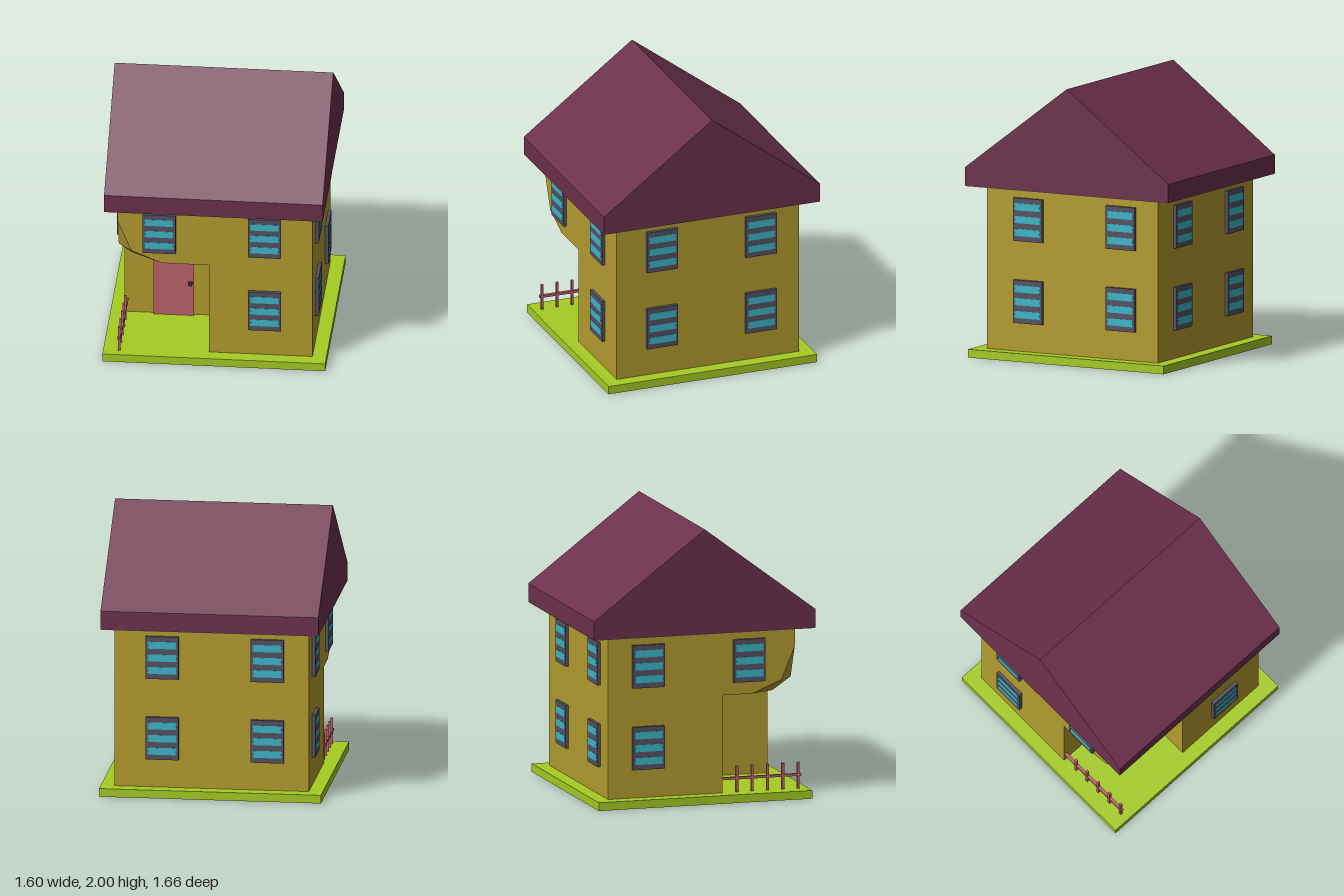
import * as THREE from 'three';
import { ConvexGeometry } from 'three/addons/geometries/ConvexGeometry.js';

const mat = (name, color) => {
  const m = new THREE.MeshStandardMaterial({ color });
  m.name = name;
  return m;
};

export function createModel() {
  const house = new THREE.Group();
  house.name = 'house';

  const grass = mat('grass green', 0xa6cc24);
  const wall = mat('ochre wall', 0xb49d2f);
  const roofRed = mat('roof maroon', 0x6d314c);
  const soffitGrey = mat('soffit grey', 0xcccccc);
  const frameGrey = mat('shutter grey', 0x555262);
  const glass = mat('pane cyan', 0x3db6ca);
  const pink = mat('door pink', 0xbe646b);
  const dark = mat('knob plum', 0x5a2840);

  const add = (parent, name, geometry, material, x = 0, y = 0, z = 0) => {
    const mesh = new THREE.Mesh(geometry, material);
    mesh.name = name;
    mesh.position.set(x, y, z);
    parent.add(mesh);
    return mesh;
  };
  const box = (parent, name, material, w, h, d, x, y, z) =>
    add(parent, name, new THREE.BoxGeometry(w, h, d), material, x, y, z);
  const polygon = pts => new THREE.Shape(pts.map(p => new THREE.Vector2(...p)));

  // Lawn slab
  box(house, 'lawn', grass, 1.6, 0.06, 1.6, 0, 0.03, 0);

  // Ground floor: L-shaped plan leaving an open porch at the front corner
  const H = 0.7, CEIL = 0.77, porchX = -0.045, porchZ = 0.16;
  const plan = polygon([[-H, H], [-H, -porchZ], [porchX, -porchZ], [porchX, -H], [H, -H], [H, H]]);
  const lower = new THREE.ExtrudeGeometry(plan, { depth: CEIL - 0.06, bevelEnabled: false });
  lower.rotateX(-Math.PI / 2);
  add(house, 'groundFloor', lower, wall, 0, 0.06, 0);

  // Upper floor: block with the corner over the porch faceted away
  const TOP = 1.24;
  const upper = new ConvexGeometry([
    [-H, TOP, -H], [H, TOP, -H], [H, TOP, H], [-H, TOP, H],
    [-H, CEIL, -H], [H, CEIL, -H], [H, CEIL, H],
    [-H, 1.1, H], [-0.6, 0.86, H], [-0.38, CEIL, H],
    [-H, 0.86, 0.6], [-H, CEIL, 0.38], [-0.61, CEIL, 0.56],
  ].map(p => new THREE.Vector3(...p)));
  add(house, 'upperFloor', upper, wall);

  // Gabled roof, ridge along x
  const gable = polygon([[-0.83, 1.24], [0.83, 1.24], [0.83, 1.375], [0, 2], [-0.83, 1.375]]);
  const roof = new THREE.ExtrudeGeometry(gable, { depth: 1.57, bevelEnabled: false });
  roof.translate(0, 0, -0.785);
  roof.rotateY(Math.PI / 2);
  add(house, 'roof', roof, roofRed);
  box(house, 'soffit', soffitGrey, 1.56, 0.004, 1.65, 0, 1.238, 0);

  // Louvred windows: frame with three panes that have notched ends
  const a = 0.108, b = 0.097, h = 0.026;
  const paneShape = polygon([
    [-b, -h], [b, -h], [a, -h * 0.6], [b, 0], [a, h * 0.6], [b, h],
    [-b, h], [-a, h * 0.6], [-b, 0], [-a, -h * 0.6],
  ]);
  const paneGeo = new THREE.ExtrudeGeometry(paneShape, { depth: 0.004, bevelEnabled: false });
  const frameGeo = new THREE.BoxGeometry(0.237, 0.312, 0.035);

  const UP = 1.016, DOWN = 0.422;
  const sides = [
    { name: 'front', turn: 0, at: [[-0.4, UP], [0.357, UP], [0.357, DOWN]] },
    { name: 'left', turn: Math.PI / 2, at: [[-0.355, UP], [0.403, UP], [-0.355, DOWN], [0.403, DOWN + 0.004]] },
    { name: 'back', turn: Math.PI, at: [[-0.355, UP], [0.403, UP], [-0.355, DOWN], [0.403, DOWN]] },
    { name: 'right', turn: -Math.PI / 2, at: [[-0.4, UP], [0.355, UP], [-0.4, DOWN]] },
  ];
  for (const side of sides) {
    const group = new THREE.Group();
    group.name = side.name + 'Windows';
    group.rotation.y = side.turn;
    house.add(group);
    for (const [x, y] of side.at) {
      add(group, 'windowFrame', frameGeo, frameGrey, x, y, 0.7065);
      for (const dy of [-0.093, 0, 0.093]) add(group, 'windowPane', paneGeo, glass, x, y + dy, 0.722);
    }
  }

  // Front door inside the porch, with knob and a small bell on the side wall
  box(house, 'door', pink, 0.29, 0.53, 0.02, -0.345, 0.325, porchZ + 0.01);
  box(house, 'doorKnob', dark, 0.028, 0.025, 0.03, -0.225, 0.325, porchZ + 0.03);
  box(house, 'doorBell', dark, 0.01, 0.045, 0.025, porchX - 0.002, 0.435, 0.35);

  // Picket fence along the open side of the porch
  const fence = new THREE.Group();
  fence.name = 'fence';
  house.add(fence);
  for (let i = 0; i < 5; i++) box(fence, 'fencePost', pink, 0.018, 0.19, 0.018, -0.684, 0.155, 0.73 - i * 0.115);
  box(fence, 'fenceRail', pink, 0.024, 0.018, 0.59, -0.684, 0.16, 0.455);

  return house;
}
